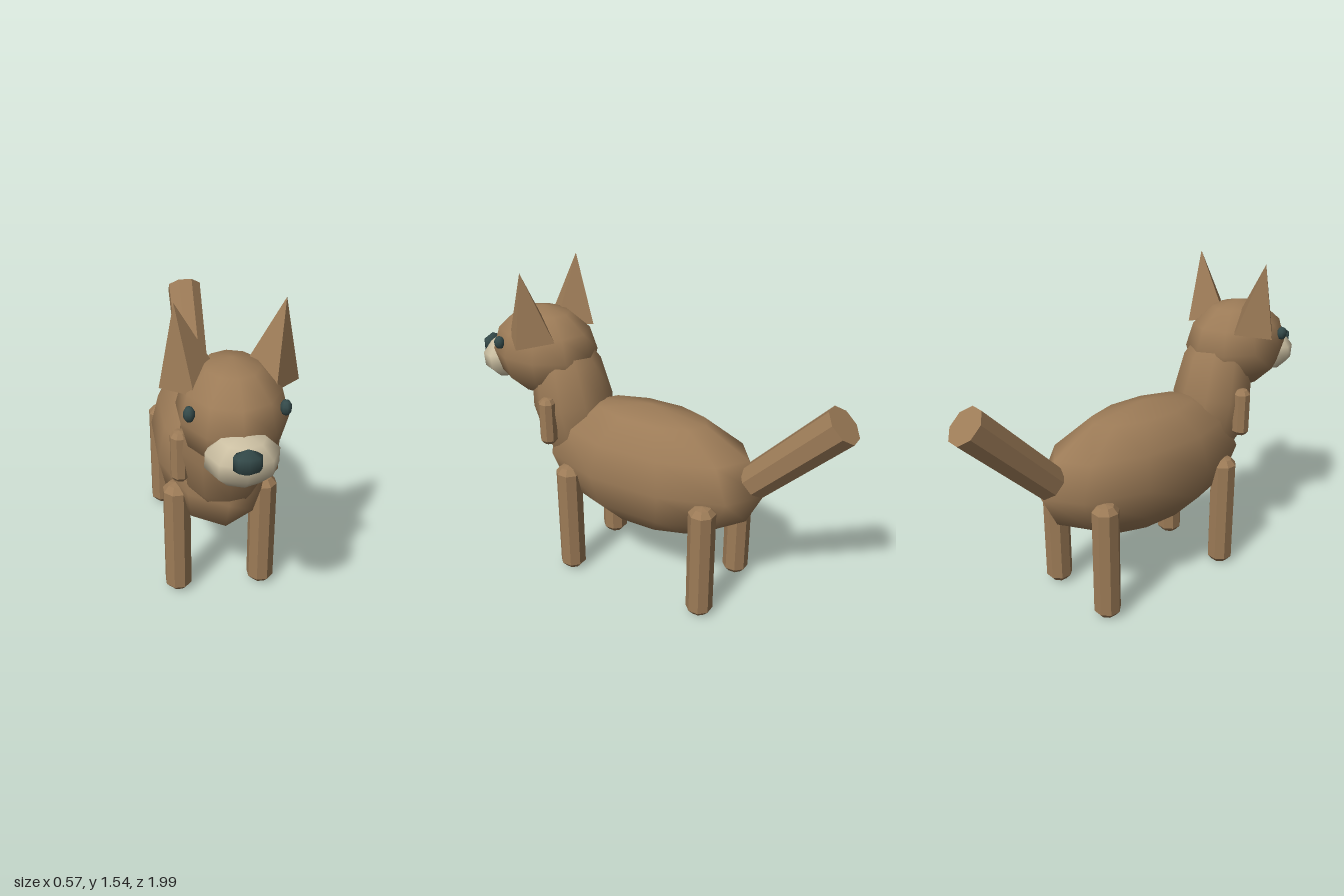
import * as THREE from 'three';

export function createModel() {
  const model = new THREE.Group();
  const mat = (name, color) => Object.assign(new THREE.MeshStandardMaterial({ color }), { name });
  const fur = mat('brown fur', 0x9c7b57);
  const cream = mat('cream muzzle', 0xcbbfa2);
  const dark = mat('dark teal', 0x344a4a);

  const add = (name, geometry, material, x, y, z) => {
    const mesh = new THREE.Mesh(geometry, material);
    mesh.name = name;
    mesh.position.set(x, y, z);
    model.add(mesh);
    return mesh;
  };

  // smooth low-segment ellipsoid with a vertex line facing the front
  const ellipsoid = (rx, ry, rz, sides, rows) =>
    new THREE.SphereGeometry(1, sides, rows).rotateY(Math.PI / 2).scale(rx, ry, rz);

  // give every face its own normals
  const faceted = (geometry) => {
    const g = geometry.toNonIndexed();
    g.computeVertexNormals();
    return g;
  };

  // eight-sided post with bevelled ends, standing on its own origin
  const post = (r, height, bevel) => {
    const profile = [
      [0, 0], [r * 0.62, bevel * 0.2], [r, bevel],
      [r, height - bevel], [r * 0.62, height - bevel * 0.2], [0, height],
    ].map(([x, y]) => new THREE.Vector2(x, y));
    return faceted(new THREE.LatheGeometry(profile, 8, Math.PI / 8));
  };

  // body, neck and head
  add('body', ellipsoid(0.279, 0.325, 0.6, 10, 6), fur, 0, 0.615, 0);
  add('neck', ellipsoid(0.2, 0.38, 0.2, 10, 6), fur, 0, 0.86, 0.46).rotation.x = THREE.MathUtils.degToRad(10);
  add('head', ellipsoid(0.226, 0.226, 0.275, 10, 6), fur, 0, 1.1, 0.617);

  // muzzle and nose
  add('muzzle', ellipsoid(0.152, 0.11, 0.122, 8, 5), cream, 0, 1.02, 0.857).rotation.x = 0.1;
  add('nose', ellipsoid(0.064, 0.057, 0.042, 8, 3), dark, 0, 1.062, 0.963);

  // tail
  const tail = faceted(new THREE.CylinderGeometry(0.094, 0.086, 0.545, 8, 1, false, Math.PI / 8));
  add('tail', tail, fur, 0, 0.873, -0.741).rotation.x = -Math.PI / 4;

  // paired parts
  const ear = faceted(new THREE.ConeGeometry(1, 0.335, 4).scale(0.125, 1, 0.133));
  const eye = ellipsoid(0.024, 0.033, 0.028, 8, 5);
  const leg = post(0.065, 0.6, 0.035);
  const tuft = post(0.043, 0.245, 0.025);
  for (const side of [1, -1]) {
    const label = side > 0 ? 'left' : 'right';
    const tilt = THREE.MathUtils.degToRad(10);
    const earMesh = add(label + 'Ear', ear, fur, side * (0.16 + 0.1675 * Math.sin(tilt)),
      1.21 + 0.1675 * Math.cos(tilt), 0.567);
    earMesh.rotation.z = -side * tilt;
    add(label + 'Eye', eye, dark, side * 0.187, 1.163, 0.752);
    add(label + 'FrontLeg', leg, fur, side * 0.2, 0, 0.357);
    add(label + 'BackLeg', leg, fur, side * 0.2, 0, -0.39);
    add(label + 'SmallPost', tuft, fur, side * 0.195, 0.69, 0.473);
  }
  return model;
}
